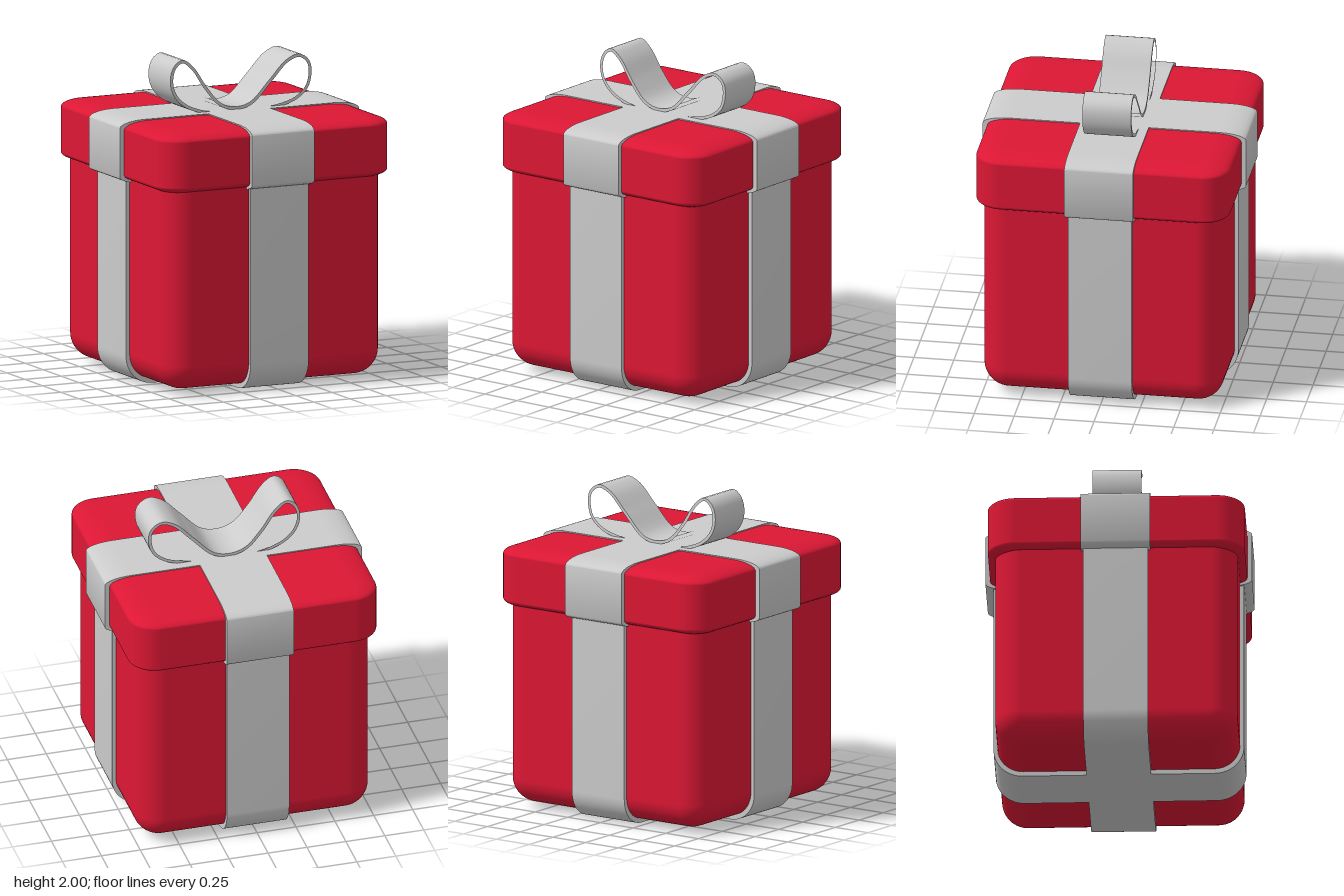
import * as THREE from 'three';
import { toCreasedNormals } from 'three/addons/utils/BufferGeometryUtils.js';
import { RoundedBoxGeometry } from 'three/addons/geometries/RoundedBoxGeometry.js';

const red = new THREE.MeshStandardMaterial({ color: 0xdc1734 });
const grey = new THREE.MeshStandardMaterial({ color: 0xcccccc });

function add(group, name, geometry, material) {
  const mesh = new THREE.Mesh(geometry, material);
  mesh.name = name;
  group.add(mesh);
  return mesh;
}

// Extrude a shape symmetrically along z, smooth on curves and sharp at the rims
function slab(shape, depth) {
  const g = new THREE.ExtrudeGeometry(shape, { depth, bevelEnabled: false, curveSegments: 14 });
  g.translate(0, 0, -depth / 2);
  return toCreasedNormals(g, 0.6);
}

// Rectangle from y0 to y1 with elliptical corners (rx wide, ry high)
function roundedRect(half, y0, y1, rx, ry) {
  const s = new THREE.Shape();
  const q = Math.PI / 2;
  s.moveTo(-half + rx, y0);
  s.absellipse(half - rx, y0 + ry, rx, ry, -q, 0, false, 0);
  s.absellipse(half - rx, y1 - ry, rx, ry, 0, q, false, 0);
  s.absellipse(-half + rx, y1 - ry, rx, ry, q, 2 * q, false, 0);
  s.absellipse(-half + rx, y0 + ry, rx, ry, 2 * q, 3 * q, false, 0);
  return s;
}

// One closed strip: centre V, two unequal loops, and a bottom strand lying on the lid
function bowShape(thickness) {
  const points = [
    [0, 1.668], [0.11, 1.69], [0.245, 1.82], [0.36, 1.935], [0.445, 1.965], [0.505, 1.925],
    [0.52, 1.86], [0.497, 1.765], [0.42, 1.698], [0.27, 1.656], [0.12, 1.642], [0, 1.64],
    [-0.12, 1.645], [-0.23, 1.665], [-0.34, 1.71], [-0.41, 1.78], [-0.435, 1.865],
    [-0.415, 1.95], [-0.36, 1.989], [-0.29, 1.94], [-0.2, 1.81], [-0.1, 1.7],
  ].map(([x, y]) => new THREE.Vector3(x, y, 0));
  const curve = new THREE.CatmullRomCurve3(points, true);
  const offset = (d) => Array.from({ length: 120 }, (_, i) => {
    const p = curve.getPointAt(i / 120), t = curve.getTangentAt(i / 120);
    return new THREE.Vector2(p.x - t.y * d, p.y + t.x * d);
  });
  const shape = new THREE.Shape(offset(thickness / 2));
  shape.holes.push(new THREE.Path(offset(-thickness / 2)));
  return shape;
}

export function createModel() {
  const gift = new THREE.Group();
  gift.name = 'giftBox';

  // Box body, its top tucked inside the lid
  const body = new RoundedBoxGeometry(1.5, 1.57, 1.5, 8, 0.16);
  body.translate(0, 0.815, 0);
  add(gift, 'boxBody', body, red);

  // Lid: rounded box squashed in height so its top and bottom edges are shallow
  const lid = new RoundedBoxGeometry(1.59, 1.31, 1.59, 8, 0.17);
  lid.scale(1, 0.292, 1);
  lid.translate(0, 1.463, 0);
  add(gift, 'lid', lid, red);

  // Crossed ribbons around the body and the lid
  const bodyBand = slab(roundedRect(0.775, 0, 1.58, 0.18, 0.18), 0.4);
  const lidBand = slab(roundedRect(0.825, 1.265, 1.661, 0.17, 0.045), 0.43);
  for (const [dir, angle] of [['Side', 0], ['Front', Math.PI / 2]]) {
    add(gift, 'bodyRibbon' + dir, bodyBand, grey).rotation.y = angle;
    add(gift, 'lidRibbon' + dir, lidBand, grey).rotation.y = angle;
  }

  // Bow
  add(gift, 'bow', slab(bowShape(0.02), 0.305), grey).position.z = -0.003;

  return gift;
}
